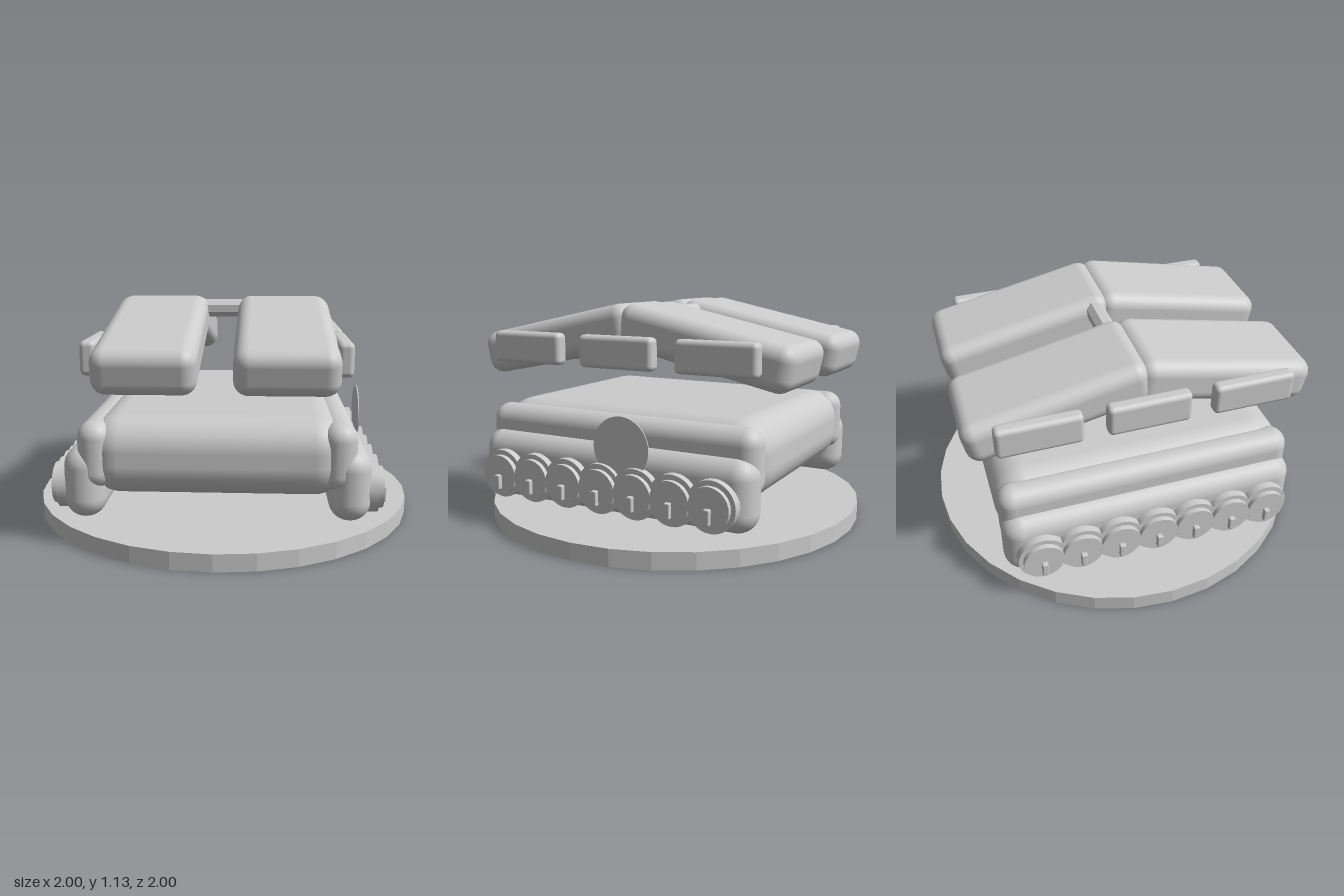
import * as THREE from 'three';
import { RoundedBoxGeometry } from 'three/addons/geometries/RoundedBoxGeometry.js';

export function createModel() {
  const model = new THREE.Group();
  const grey = new THREE.MeshStandardMaterial({ color: 0xcccccc });
  grey.name = 'lightGrey';

  function add(name, geometry, x, y, z) {
    const mesh = new THREE.Mesh(geometry, grey);
    mesh.name = name;
    mesh.position.set(x, y, z);
    model.add(mesh);
    return mesh;
  }
  const roundBox = (w, h, d, r) => new RoundedBoxGeometry(w, h, d, 5, r);
  const faceted = (g) => {
    const flat = g.toNonIndexed();
    flat.computeVertexNormals();
    return flat;
  };
  const axle = (r, length, sides) => new THREE.CylinderGeometry(r, r, length, sides).rotateZ(Math.PI / 2);

  // Display base with flat facets
  add('base', faceted(new THREE.CylinderGeometry(1, 1, 0.085, 32)), 0, 0.0425, 0);

  // Hull
  add('hull', roundBox(1.24, 0.385, 1.52, 0.16), 0, 0.4325, 0);

  // Short rod joining the roof blocks
  add('roofConnector', faceted(axle(0.05, 0.5, 8).rotateX(Math.PI / 8)), 0, 1.067, -0.06);

  // Flat round plate on the left flank only
  add('flankDisc', axle(0.15, 0.006, 40), 0.74, 0.48, -0.112);

  const tilt = Math.atan2(0.17, 0.8);
  for (const s of [1, -1]) {
    const side = s > 0 ? 'left' : 'right';

    // Stacked flank pods
    add(side + 'UpperPod', roundBox(0.165, 0.325, 1.515, 0.08), s * 0.575, 0.4425, 0);
    add(side + 'LowerPod', roundBox(0.2, 0.35, 1.52, 0.098), s * 0.628, 0.306, 0);

    // Road wheels: rim, hub plate and small peg
    for (let i = -3; i <= 3; i++) {
      const z = i * 0.196;
      add(side + 'WheelRim', axle(0.122, 0.165, 32), s * 0.6825, 0.274, z);
      add(side + 'WheelHub', axle(0.1, 0.19, 32), s * 0.695, 0.272, z);
      add(side + 'WheelPeg', roundBox(0.06, 0.075, 0.03, 0.006), s * 0.782, 0.237, z);
    }

    // Roof blocks sloping down from the central ridge, with side plates
    for (const f of [1, -1]) {
      const block = add(side + (f > 0 ? 'Front' : 'Rear') + 'RoofBlock',
        roundBox(0.48, 0.22, 0.92, 0.07), s * 0.32, 0.943, f * 0.417);
      block.rotation.x = f * tilt;
    }
    for (const z of [-0.53, 0, 0.53]) {
      add(side + 'RoofPlate', roundBox(0.075, 0.16, 0.414, 0.025), s * 0.585, 0.905, z);
    }
  }
  return model;
}
